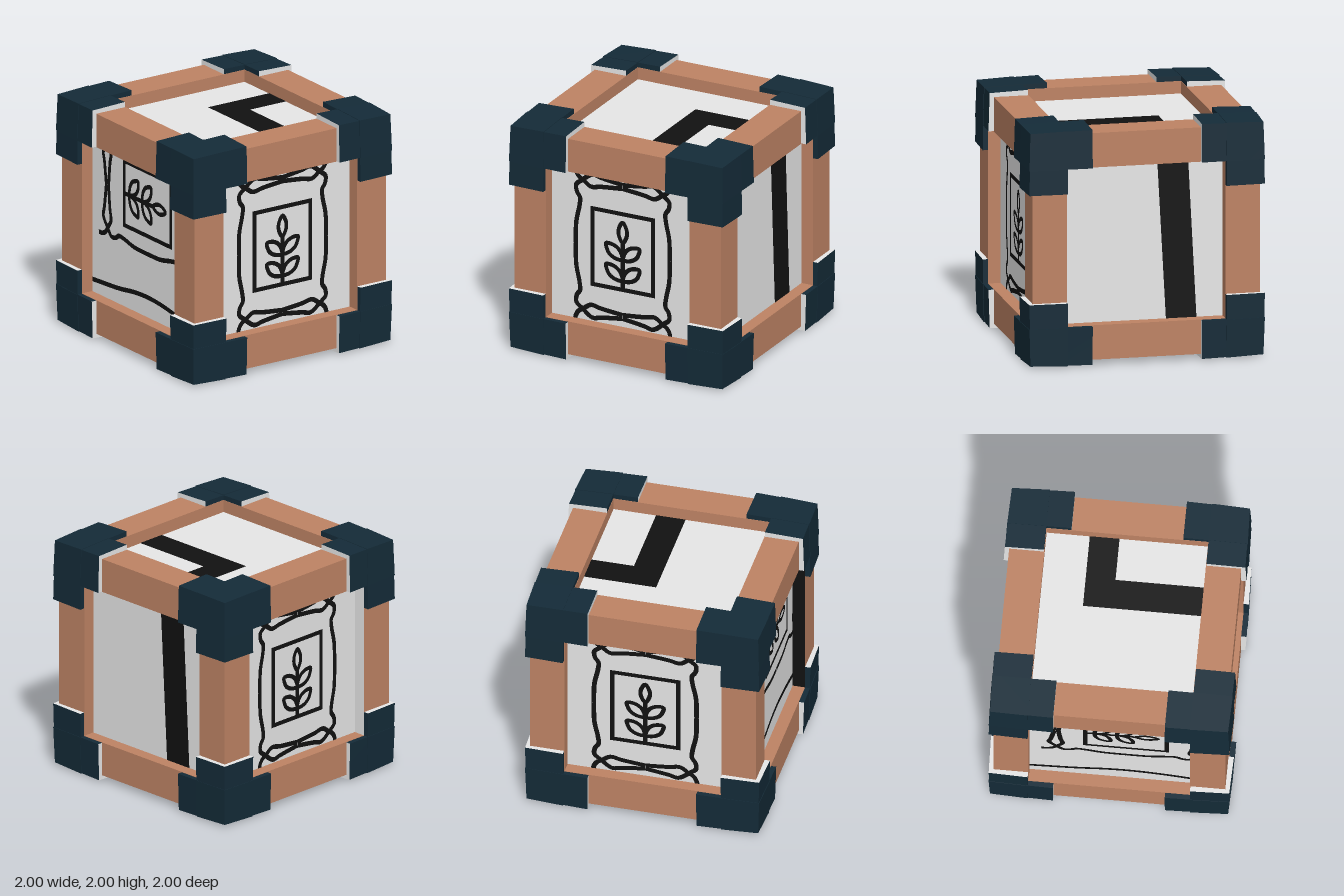
import * as THREE from 'three';

const mat = (name, color) => {
  const m = new THREE.MeshStandardMaterial({ color });
  m.name = name;
  return m;
};

const IN = 0.665, OUT = 0.955, PANEL = 0.85; // beam inner and outer faces, panel plane

export function createModel() {
  const wood = mat('brown wood', 0xbe8364);
  const navy = mat('dark navy', 0x142b38);
  const white = mat('off white', 0xf6f6f6);
  const black = mat('black paint', 0x111111);

  const model = new THREE.Group();
  model.name = 'crate';
  const crate = new THREE.Group();
  crate.name = 'crateBody';
  crate.position.y = 1;
  model.add(crate);

  const add = (parent, name, geometry, material) => {
    const mesh = new THREE.Mesh(geometry, material);
    mesh.name = name;
    parent.add(mesh);
    return mesh;
  };

  // Inner box whose six sides are the recessed panels
  add(crate, 'panels', new THREE.BoxGeometry(2 * PANEL, 2 * PANEL, 2 * PANEL), white);

  // Twelve beams, some with painted inner walls
  for (let axis = 0; axis < 3; axis++) {
    for (const a of [-1, 1]) for (const b of [-1, 1]) {
      const size = [OUT - IN, OUT - IN, OUT - IN], pos = [0, 0, 0];
      size[axis] = 2 * OUT;
      pos[(axis + 1) % 3] = a * (IN + OUT) / 2;
      pos[(axis + 2) % 3] = b * (IN + OUT) / 2;
      const mats = Array(6).fill(wood);
      if (axis !== 1 && pos[1] > 0) mats[3] = white;
      if (axis === 1 && pos[0] < 0) {
        if (pos[2] < 0) mats[0] = white;
        else mats[5] = black;
      }
      add(crate, 'beam', new THREE.BoxGeometry(...size), mats).position.set(...pos);
    }
  }

  // Eight corner caps, each three sleeves that taper slightly to the outer edges
  const capIn = IN + 0.003, capEnd = 0.46;
  for (const sx of [-1, 1]) for (const sy of [-1, 1]) for (const sz of [-1, 1]) {
    const s = [sx, sy, sz];
    const cap = new THREE.Group();
    cap.name = 'cornerCap';
    crate.add(cap);
    for (let axis = 0; axis < 3; axis++) {
      const lo = [capIn, capIn, capIn];
      lo[axis] = capEnd;
      const g = new THREE.BoxGeometry(...lo.map(l => 1 - l));
      g.translate(...lo.map((l, i) => s[i] * (1 + l) / 2));
      const p = g.attributes.position;
      for (let i = 0; i < p.count; i++) {
        const v = [p.getX(i), p.getY(i), p.getZ(i)];
        const outer = v.map(c => Math.abs(c) > 0.99);
        const n = outer.filter(Boolean).length;
        p.setXYZ(i, ...v.map((c, k) => outer[k] ? c * (1 - 0.01 * (n - 1)) : c));
      }
      g.computeVertexNormals();
      const mats = Array(6).fill(navy);
      mats[axis * 2 + (s[axis] > 0 ? 1 : 0)] = white; // open end rim
      add(cap, 'capSleeve', g, mats);
    }
  }

  // Painted sides: local x right, y up, z outward
  const side = (name, rx, ry) => {
    const turn = new THREE.Group();
    turn.name = name;
    turn.rotation.set(rx, ry, 0);
    crate.add(turn);
    const face = new THREE.Group();
    face.name = name + 'Paint';
    face.position.z = PANEL + 0.003;
    turn.add(face);
    return face;
  };
  const V = pts => pts.map(([x, y]) => new THREE.Vector2(x, y));
  const plate = (parent, name, pts) =>
    add(parent, name, new THREE.ShapeGeometry(new THREE.Shape(V(pts))), black);

  // Flat stroke of constant width along a smooth path
  const stroke = (parent, name, pts, width, closed = false) => {
    const curve = new THREE.CatmullRomCurve3(
      pts.map(([x, y]) => new THREE.Vector3(x, y, 0)), closed, 'centripetal');
    const n = pts.length * 7, pos = [], idx = [];
    for (let i = 0; i <= n; i++) {
      const c = curve.getPoint(i / n), t = curve.getTangent(i / n);
      const dx = -t.y * width / 2, dy = t.x * width / 2;
      pos.push(c.x + dx, c.y + dy, 0, c.x - dx, c.y - dy, 0);
      if (i < n) {
        const k = 2 * i;
        idx.push(k, k + 1, k + 2, k + 1, k + 3, k + 2);
      }
    }
    const g = new THREE.BufferGeometry();
    g.setAttribute('position', new THREE.Float32BufferAttribute(pos, 3));
    g.setIndex(idx);
    g.computeVertexNormals();
    add(parent, name, g, black);
  };

  const sackSide = [[-0.435, 0], [-0.43, 0.19], [-0.4, 0.34], [-0.395, 0.41], [-0.425, 0.46],
    [-0.43, 0.52], [-0.38, 0.565], [-0.28, 0.635], [-0.2, 0.62], [0, 0.592]];
  const sackTie = [[-0.44, 0.7], [-0.435, 0.645], [-0.41, 0.6], [-0.365, 0.57],
    [-0.295, 0.525], [-0.2, 0.54], [0, 0.56]];
  const leaf = [[-0.155, 0.05], [-0.09, 0.05], [-0.03, 0.01], [-0.005, -0.07],
    [-0.07, -0.068], [-0.125, -0.035], [-0.145, 0]];
  const topLeaf = [[0, 0.26], [0.036, 0.2], [0.036, 0.14], [0, 0.08], [-0.036, 0.14], [-0.036, 0.2]];

  // Grain sack drawing
  const sack = (parent) => {
    const g = new THREE.Group();
    g.name = 'sackDrawing';
    g.position.x = -0.008;
    parent.add(g);
    for (const mx of [-1, 1]) {
      for (const my of [-1, 1]) {
        const flip = pts => pts.map(([x, y]) => [x * mx, y * my]);
        stroke(g, 'sackOutline', flip(sackSide), 0.04);
        stroke(g, 'sackTie', flip(sackTie), 0.04);
      }
      for (const drop of [0, 0.185])
        stroke(g, 'grainLeaf', leaf.map(([x, y]) => [x * mx, y - drop]), 0.036, true);
    }
    stroke(g, 'grainTip', topLeaf, 0.036, true);
    plate(g, 'grainStem', [[-0.019, -0.34], [0.019, -0.34], [0.019, 0.1], [-0.019, 0.1]]);
    const rect = (w, h) => V([[-w, -h], [w, -h], [w, h], [-w, h]]);
    const frame = new THREE.Shape(rect(0.297, 0.354));
    frame.holes.push(new THREE.Path(rect(0.26, 0.317)));
    add(g, 'labelFrame', new THREE.ShapeGeometry(frame), black);
    return g;
  };

  sack(side('frontSide', 0, 0));
  sack(side('backSide', 0, Math.PI));

  // Sideways, off-centre drawing with the edge of a second sack below
  const negX = side('rightSide', 0, -Math.PI / 2);
  const turned = sack(negX);
  turned.position.set(0.13, 0.32, 0);
  turned.rotation.z = -Math.PI / 2;
  stroke(negX, 'secondSackEdge', [[-0.7, -0.56], [-0.28, -0.53], [-0.06, -0.5], [0.13, -0.49],
    [0.32, -0.5], [0.54, -0.53], [0.7, -0.56]], 0.04);

  // Plain stripes on the remaining sides
  plate(side('leftSide', 0, Math.PI / 2), 'slantedStripe',
    [[0.19, -0.69], [0.447, -0.69], [0.375, 0.69], [0.115, 0.69]]);
  plate(side('topSide', -Math.PI / 2, 0), 'angledStripe',
    [[0.055, -0.7], [0.305, -0.7], [0.305, 0.065], [0.7, 0.065], [0.7, 0.31], [0.055, 0.31]]);
  plate(side('bottomSide', Math.PI / 2, 0), 'straightStripe',
    [[0.055, -0.7], [0.305, -0.7], [0.305, 0.7], [0.055, 0.7]]);

  return model;
}
